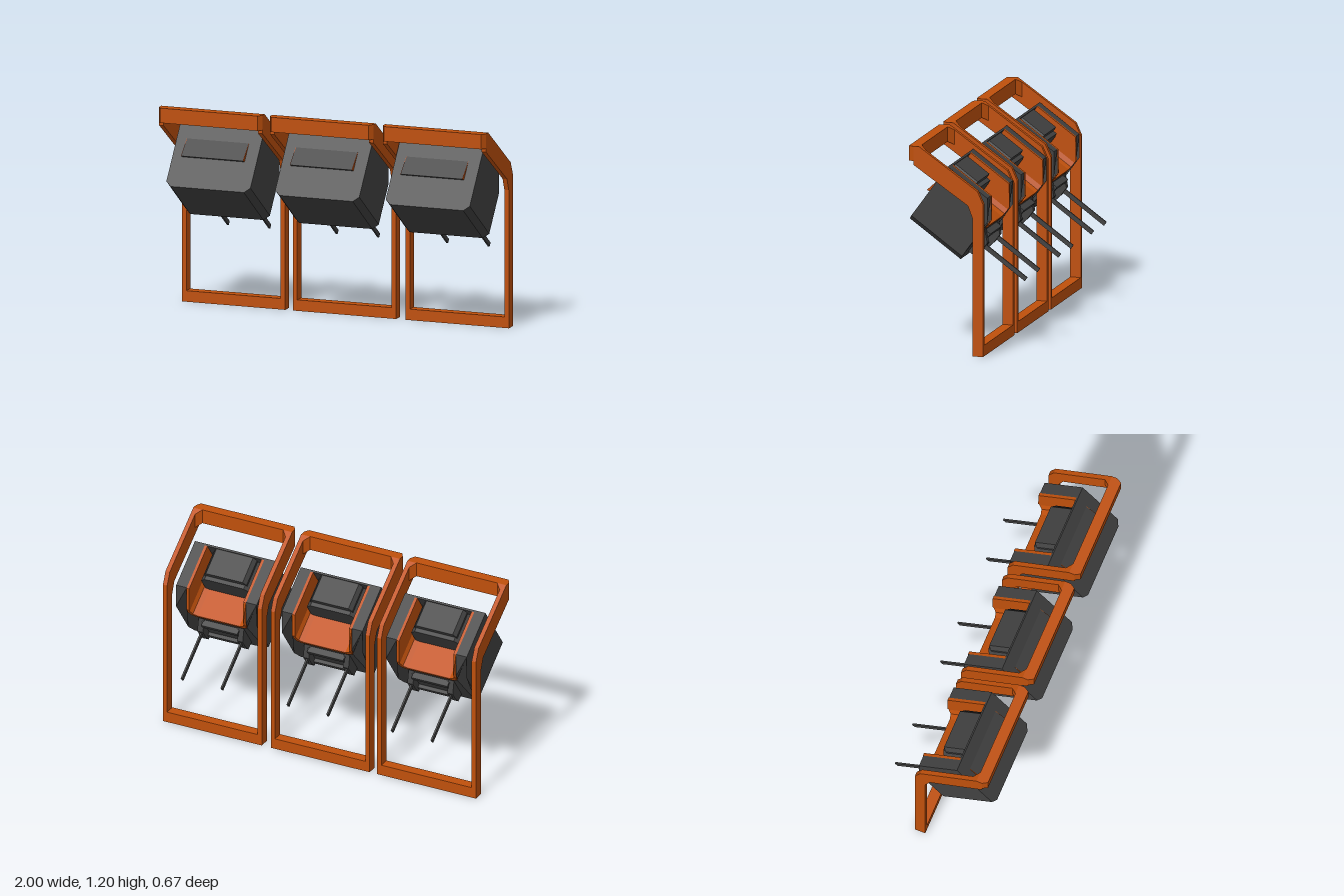
import * as THREE from 'three';

const orange = new THREE.MeshStandardMaterial({ color: 0xc0500c, flatShading: true });
const dark = new THREE.MeshStandardMaterial({ color: 0x424242, flatShading: true });

function add(parent, name, geometry, material) {
  const mesh = new THREE.Mesh(geometry, material);
  mesh.name = name;
  parent.add(mesh);
  return mesh;
}

// Box given by its limits on each axis
function box(x0, x1, y0, y1, z0, z1) {
  return new THREE.BoxGeometry(x1 - x0, y1 - y0, z1 - z0)
    .translate((x0 + x1) / 2, (y0 + y1) / 2, (z0 + z1) / 2);
}

// Outline in x, y extruded between z0 and z1
function slab(points, z0, z1) {
  const shape = new THREE.Shape(points.map(([x, y]) => new THREE.Vector2(x, y)));
  return new THREE.ExtrudeGeometry(shape, { depth: z1 - z0, bevelEnabled: false }).translate(0, 0, z0);
}

// Outline in z, y extruded between x0 and x1
function sideSlab(points, x0, x1) {
  return slab(points.map(([z, y]) => [-z, y]), x0, x1).rotateY(Math.PI / 2);
}

// Moves every vertex by a rule
function deform(geometry, rule) {
  const p = geometry.attributes.position;
  const v = new THREE.Vector3();
  for (let i = 0; i < p.count; i++) {
    v.fromBufferAttribute(p, i);
    rule(v);
    p.setXYZ(i, v.x, v.y, v.z);
  }
  geometry.computeVertexNormals();
  return geometry;
}

const mirror = (half) => [...half, ...half.map(([x, y]) => [-x, y]).reverse()];

function makeFrame() {
  const frame = new THREE.Group();
  frame.name = 'standFrame';
  const h = 0.316, t = 0.027;
  // Upright with its forward-leaning arm
  const profile = [[-0.133, 0], [-0.07, 0], [-0.07, 0.803], [-0.043, 0.873], [0.28, 1.093],
    [0.28, 1.2], [0.246, 1.2], [-0.1, 0.959], [-0.133, 0.886]];
  for (const s of [-1, 1]) {
    add(frame, 'bentPost', sideSlab(profile, s > 0 ? h - t : -h, s > 0 ? h : -h + t), orange);
  }
  add(frame, 'bottomBar', box(-h + t, h - t, 0, 0.064, -0.133, -0.07), orange);
  // Top bar with cut corners outside and small gussets inside
  const plan = mirror([[h - 0.018, 0.31], [h, 0.28], [h, 0.246], [h - t, 0.215], [h - t - 0.031, 0.246]]);
  const bar = slab(plan.map(([x, z]) => [x, -z]), 1.114, 1.2).rotateX(-Math.PI / 2);
  add(frame, 'topBar', deform(bar, (v) => {
    if (v.z < 0.246) v.y -= (0.246 - v.z) * 0.69;
  }), orange);
  return frame;
}

function makeHousing() {
  const unit = new THREE.Group();
  unit.name = 'tiltedHousing';
  const W = 0.257, H = 0.397, D = 0.372;
  const cutHeight = 0.287;
  // Slopes the upper rear edge
  const slopeBack = (v) => {
    if (v.z < -0.1 && v.y > cutHeight) v.z += (v.y - cutHeight) * 0.745;
  };
  // Right half of the recess edge, from the top down to the floor
  const recess = (w, floor) => [[w, H], [w, cutHeight], [w, floor + 0.04], [w - 0.012, floor + 0.012], [w - 0.04, floor]];
  const outer = [[W - 0.033, 0], [W, 0.03], [W, cutHeight], [W, H]];

  add(unit, 'frontWall', slab(mirror(outer), -0.012, 0), dark);
  add(unit, 'housingShell', deform(slab(mirror([...outer, ...recess(0.19, 0.215)].reverse()), -D, -0.012), slopeBack), dark);

  // Orange lining of the recess
  const lining = [...recess(0.173, 0.232).reverse(), ...recess(0.19, 0.215)];
  add(unit, 'recessLining', deform(slab(mirror(lining), -D - 0.004, -0.012), slopeBack), orange);

  // Pod sitting in the recess, on a wider stepped base
  add(unit, 'podBase', slab(mirror([[0.155, 0.23], [0.155, 0.33], [0.125, 0.36]]), -0.2, -0.012), dark);
  add(unit, 'podTop', slab(mirror([[0.135, 0.33], [0.135, 0.365], [0.117, 0.39]]), -0.175, -0.012), dark);

  // Raised flap on the front, with coloured cheeks
  const wedge = [[0, 0.305], [0, 0.189], [0.024, 0.183]];
  add(unit, 'frontFlap', sideSlab(wedge, -0.194, 0.182), dark);
  for (const x of [-0.196, 0.182]) add(unit, 'flapCheek', sideSlab(wedge, x, x + 0.002), orange);

  // Rear connector: plate, rails, side brackets and two prongs
  add(unit, 'rearPlate', box(-0.125, 0.115, 0.045, 0.19, -0.388, -D), dark);
  for (const y of [0.045, 0.165]) add(unit, 'plateRail', box(-0.12, 0.11, y, y + 0.025, -0.41, -D), dark);
  const bracket = [[-D, 0.036], [-0.421, 0.038], [-0.431, 0.09], [-0.431, 0.145], [-D, 0.2]];
  for (const x of [-0.132, 0.122]) {
    add(unit, 'rearBracket', sideSlab(bracket, x - 0.018, x + 0.018), dark);
    add(unit, 'prong', box(x - 0.005, x + 0.005, 0.104, 0.13, -0.73, -D), dark);
  }
  return unit;
}

export function createModel() {
  const model = new THREE.Group();
  model.name = 'threeStandRow';
  // Frame centre and housing centre of each stand
  for (const [frameX, housingX] of [[-0.684, -0.684], [-0.005, -0.018], [0.684, 0.658]]) {
    const stand = new THREE.Group();
    stand.name = 'stand';
    const frame = makeFrame();
    frame.position.x = frameX;
    const housing = makeHousing();
    housing.position.set(housingX, 0.755, 0.335);
    housing.rotation.x = -0.63;
    stand.add(frame, housing);
    model.add(stand);
  }
  return model;
}
